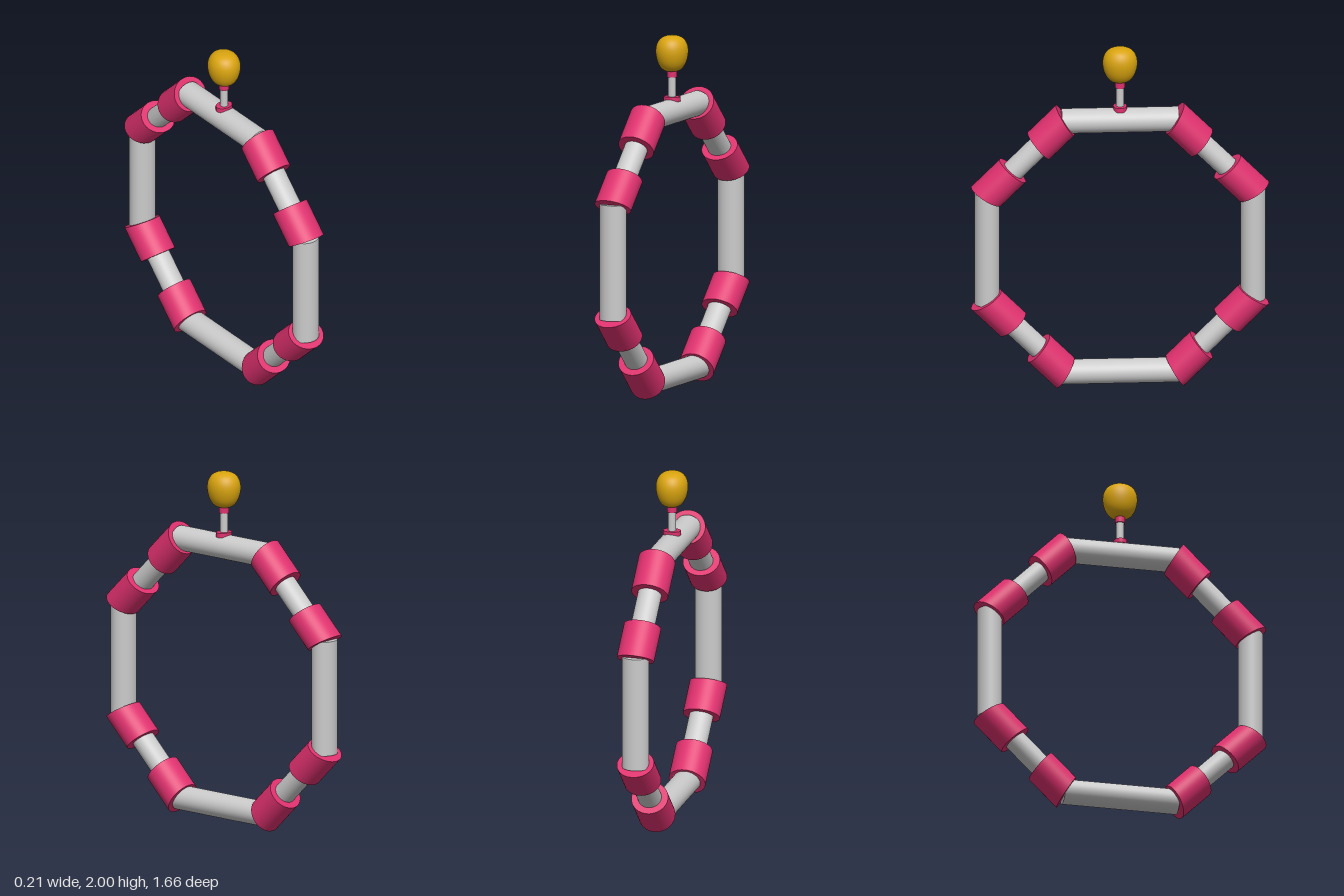
import * as THREE from 'three';

const CENTRE = 0.832;   // height of the ring's centre
const APOTHEM = 0.74;   // ring centre to tube axis

const grey = new THREE.MeshStandardMaterial({ color: 0xcccccc });
const pink = new THREE.MeshStandardMaterial({ color: 0xdf316e });
const gold = new THREE.MeshStandardMaterial({ color: 0xd9a40f });

function add(parent, name, geometry, material) {
  const mesh = new THREE.Mesh(geometry, material);
  mesh.name = name;
  parent.add(mesh);
  return mesh;
}

// Oval tube lying along z at the top of the ring
function tubeGeometry(halfLength, rx, ry) {
  return new THREE.CylinderGeometry(1, 1, 2 * halfLength, 40)
    .rotateX(Math.PI / 2)
    .scale(rx, ry, 1)
    .translate(0, APOTHEM, 0);
}

// Oval collar along z whose two ends are slanted; longer on the outside
function collarGeometry() {
  const half = 0.0955;
  const geo = new THREE.CylinderGeometry(1, 1, 2, 40).rotateX(Math.PI / 2);
  const p = geo.attributes.position;
  for (let i = 0; i < p.count; i++) {
    const out = p.getY(i);
    const mitre = 0.310 + 0.023 * out;
    const cut = 0.102 + 0.008 * out;
    p.setXYZ(i, p.getX(i) * 0.105, 0.742 + out * half, p.getZ(i) > 0 ? mitre : cut);
  }
  // smooth side normals stay radial, end caps follow their slant
  const n = geo.attributes.normal;
  const v = new THREE.Vector3();
  for (let i = 0; i < n.count; i++) {
    const z = n.getZ(i);
    if (z > 0.5) v.set(0, -0.24, 1);
    else if (z < -0.5) v.set(0, 0.08, -1);
    else v.set(n.getX(i) / 0.105, n.getY(i) / half, 0);
    v.normalize();
    n.setXYZ(i, v.x, v.y, v.z);
  }
  return geo;
}

export function createModel() {
  const model = new THREE.Group();
  model.name = 'octagonalRing';

  // Eight-sided ring: thick straight tubes alternate with thin collared ones
  const ring = new THREE.Group();
  ring.name = 'ring';
  ring.position.y = CENTRE;
  model.add(ring);

  const thick = tubeGeometry(0.325, 0.076, 0.069);
  const thin = tubeGeometry(0.29, 0.067, 0.061);
  const collar = collarGeometry();

  for (let i = 0; i < 8; i++) {
    const side = new THREE.Group();
    side.name = 'side' + (i + 1);
    side.rotation.x = i * Math.PI / 4;
    ring.add(side);
    if (i % 2 === 0) {
      add(side, 'mainTube', thick, grey);
    } else {
      add(side, 'diagonalTube', thin, grey);
      add(side, 'collarA', collar, pink);
      add(side, 'collarB', collar, pink).rotation.y = Math.PI;
    }
  }

  // Finial on top: foot, stem, neck and knob
  const finial = new THREE.Group();
  finial.name = 'finial';
  model.add(finial);

  const foot = add(finial, 'foot', new THREE.CylinderGeometry(1, 1, 0.026, 32), pink);
  foot.scale.set(0.05, 1, 0.038);
  foot.position.y = 1.643;
  add(finial, 'stem', new THREE.CylinderGeometry(0.022, 0.022, 0.16, 24), grey).position.y = 1.7;
  add(finial, 'neck', new THREE.CylinderGeometry(0.029, 0.029, 0.04, 24), pink).position.y = 1.785;

  const outline = new THREE.SplineCurve([
    [0, 1.797], [0.036, 1.8], [0.062, 1.818], [0.082, 1.853], [0.092, 1.9],
    [0.088, 1.943], [0.069, 1.977], [0.038, 1.995], [0, 2],
  ].map(([r, y]) => new THREE.Vector2(r, y)));
  const points = outline.getPoints(32);
  points[0].x = points[32].x = 0;
  const knob = add(finial, 'knob', new THREE.LatheGeometry(points, 40), gold);
  knob.scale.set(0.97, 1, 1.05);

  return model;
}
